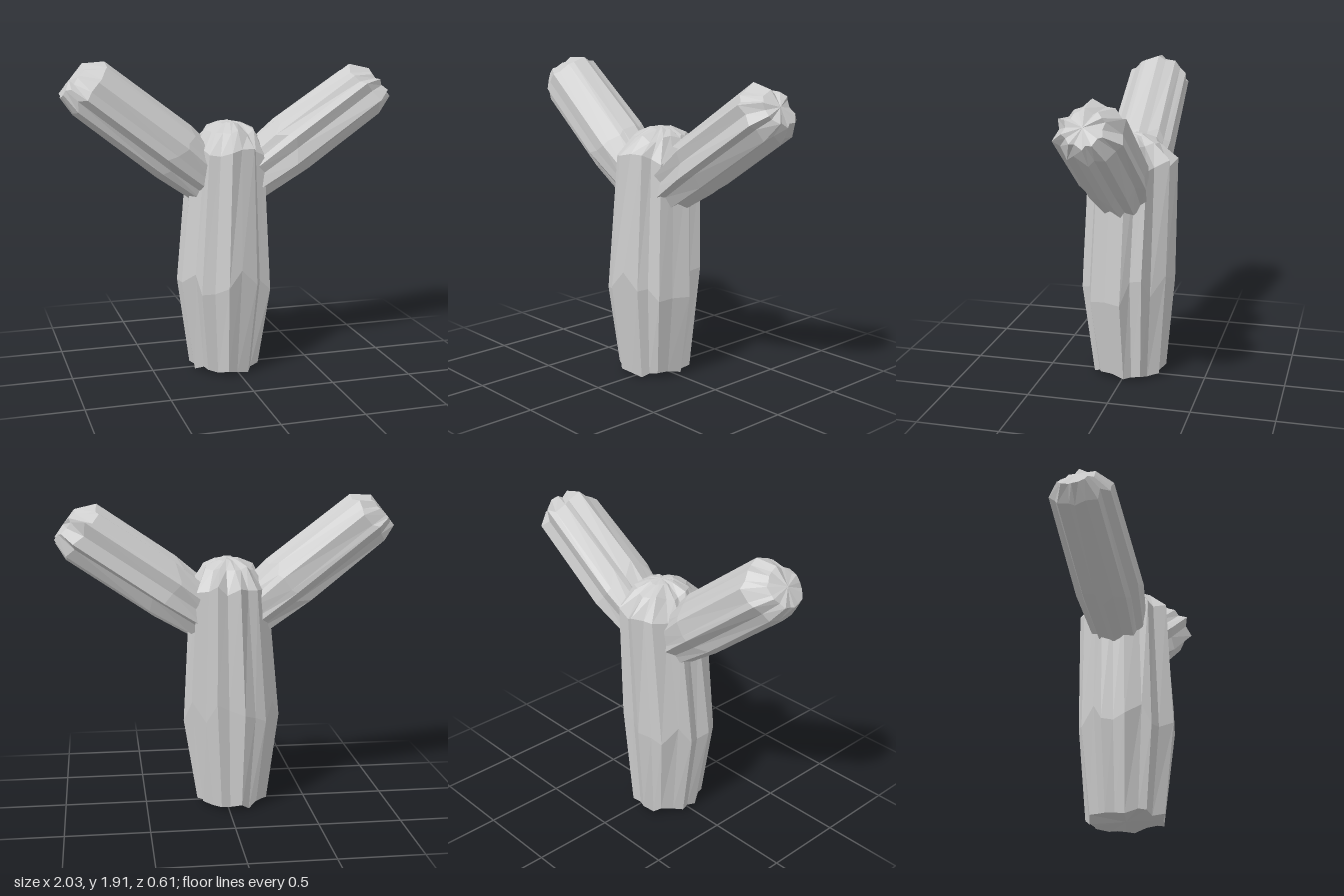
import * as THREE from 'three';

const material = new THREE.MeshStandardMaterial({ color: 0xcccccc, flatShading: true });

// Small seeded generator returning values in -1..1
function seeded(seed) {
  let s = seed;
  return () => {
    s = (s * 16807) % 2147483647;
    return (s / 2147483647) * 2 - 1;
  };
}

// Ribbed stalk growing from base along dir (in the xy plane).
// rings: [distance along axis, sideways shift, z shift, radius, z radius, raggedness]
function stalk(name, base, dir, rings, tip, ribs, seed) {
  const rnd = seeded(seed);
  const d = new THREE.Vector3(dir[0], dir[1], 0).normalize();
  const u = new THREE.Vector3(d.y, -d.x, 0);
  const origin = new THREE.Vector3(base[0], base[1], 0);
  const n = ribs * 2;
  const place = (t, a, z) =>
    origin.clone().addScaledVector(d, t).addScaledVector(u, a).add(new THREE.Vector3(0, 0, z));

  // Uneven crests and grooves shared by the whole length
  const rib = [];
  for (let j = 0; j < n; j++) {
    rib.push({
      angle: ((j + rnd() * 0.28) / n) * Math.PI * 2,
      size: j % 2 ? 0.89 + rnd() * 0.04 : 0.99 + rnd() * 0.05,
    });
  }

  const positions = [];
  const index = [];
  const push = (p) => positions.push(p.x, p.y, p.z);
  for (const [t, a, z, r, rz, rag] of rings) {
    for (const { angle, size } of rib) {
      const k = size * (1 + rnd() * 0.025);
      push(place(t + rnd() * rag, a + Math.cos(angle) * r * k, z + Math.sin(angle) * rz * k));
    }
  }

  // Side walls
  for (let i = 0; i < rings.length - 1; i++) {
    for (let j = 0; j < n; j++) {
      const a = i * n + j;
      const b = i * n + ((j + 1) % n);
      index.push(a, a + n, b, b, a + n, b + n);
    }
  }

  // Closed foot and crown
  const first = rings[0];
  const last = rings[rings.length - 1];
  const foot = positions.length / 3;
  push(place(first[0], first[1], first[2]));
  push(place(tip, last[1], last[2]));
  const top = (rings.length - 1) * n;
  for (let j = 0; j < n; j++) {
    const k = (j + 1) % n;
    index.push(foot, j, k, foot + 1, top + k, top + j);
  }

  const geometry = new THREE.BufferGeometry();
  geometry.setAttribute('position', new THREE.Float32BufferAttribute(positions, 3));
  geometry.setIndex(index);
  const flat = geometry.toNonIndexed();
  flat.computeVertexNormals();
  const mesh = new THREE.Mesh(flat, material);
  mesh.name = name;
  return mesh;
}

export function createModel() {
  const group = new THREE.Group();
  group.name = 'cactus';

  // Barrel-shaped trunk with a low domed crown
  group.add(stalk('trunk', [0, 0], [0, 1], [
    [0.035, -0.04, 0.0, 0.22, 0.235, 0.02],
    [0.62, -0.04, 0.01, 0.3, 0.297, 0.09],
    [1.39, -0.018, -0.02, 0.238, 0.283, 0.03],
    [1.5, -0.01, -0.02, 0.165, 0.175, 0.02],
    [1.55, -0.005, -0.02, 0.08, 0.08, 0.008],
  ], 1.56, 11, 4711));

  // Arms reaching up and outward
  group.add(stalk('rightArm', [-0.15, 1.2], [-0.78, 0.62], [
    [0.0, 0.01, 0, 0.165, 0.17, 0.03],
    [0.3, 0.015, 0, 0.197, 0.212, 0.06],
    [0.91, 0.01, -0.01, 0.187, 0.2, 0.025],
    [1.01, -0.015, -0.01, 0.12, 0.12, 0.012],
  ], 1.025, 10, 1973));
  group.add(stalk('leftArm', [0.13, 1.206], [0.81, 0.58], [
    [0.0, -0.01, 0, 0.163, 0.17, 0.03],
    [0.3, -0.01, 0, 0.192, 0.212, 0.06],
    [0.89, 0.005, -0.01, 0.187, 0.2, 0.025],
    [0.985, 0.03, 0, 0.115, 0.115, 0.015],
  ], 1.0, 10, 8839));

  return group;
}
